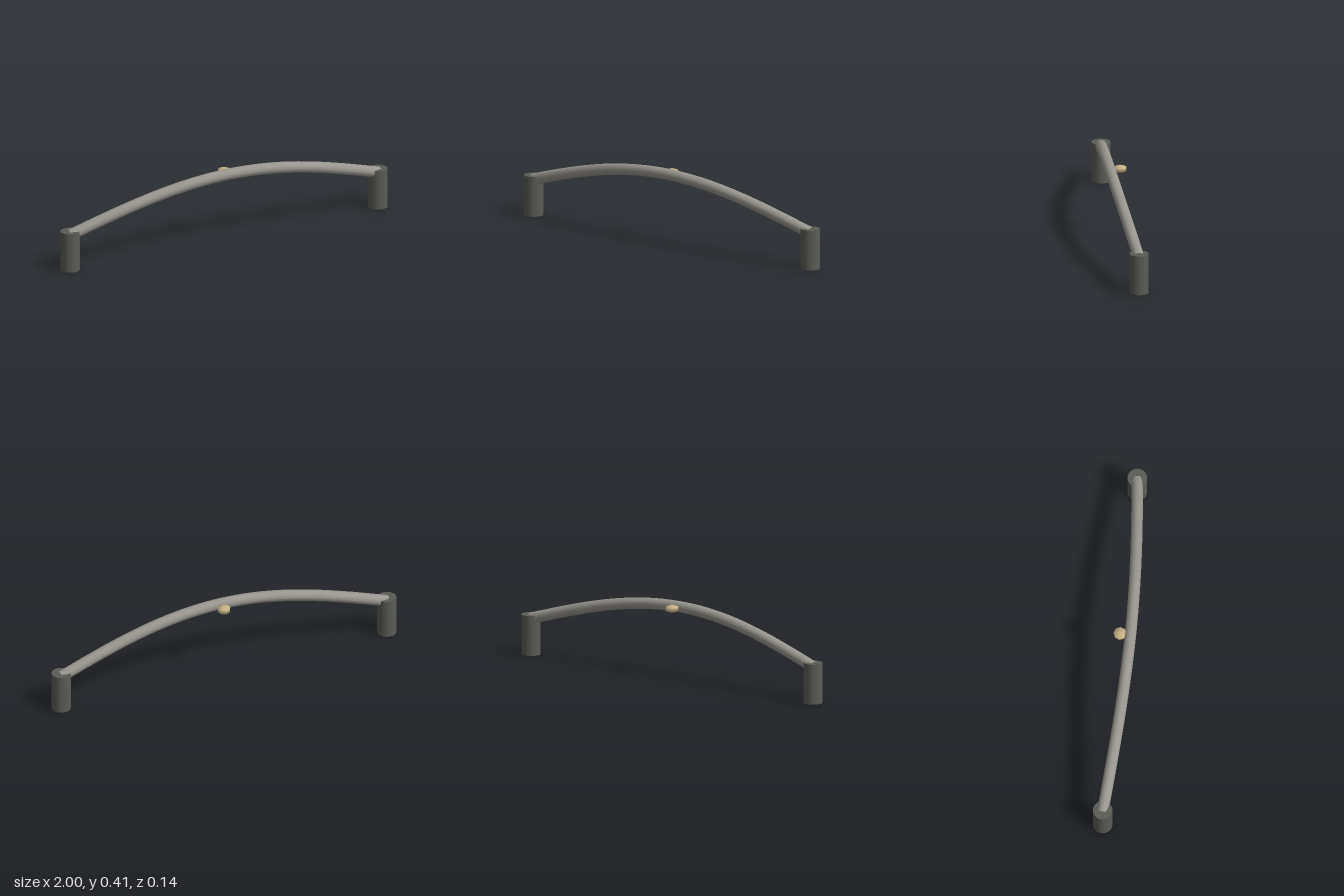
import * as THREE from 'three';

const material = (color) => new THREE.MeshStandardMaterial({ color, side: THREE.DoubleSide });

// Leaning arch running from post to post
class ArchCurve extends THREE.Curve {
  getPoint(t, target = new THREE.Vector3()) {
    const rise = Math.sin(Math.PI * t);
    return target.set((2 * t - 1) * 0.948, 0.195 + 0.187 * rise, -0.018 + 0.056 * rise);
  }
}

export function createModel() {
  const model = new THREE.Group();
  const add = (name, geometry, mat, x = 0, y = 0, z = 0) => {
    const mesh = new THREE.Mesh(geometry, mat);
    mesh.name = name;
    mesh.position.set(x, y, z);
    model.add(mesh);
    return mesh;
  };

  // End posts
  const postMaterial = material(0x5a5c55);
  const postGeometry = new THREE.CylinderGeometry(0.052, 0.052, 0.218, 24);
  for (const [name, side] of [['leftPost', 1], ['rightPost', -1]]) {
    add(name, postGeometry, postMaterial, side * 0.948, 0.109, -0.018);
  }

  // Arched handle bar
  add('archedBar', new THREE.TubeGeometry(new ArchCurve(), 40, 0.031, 12, false), material(0x98968e));

  // Flattened bead behind the crown of the bar
  const bead = add('bead', new THREE.SphereGeometry(0.039, 8, 3), material(0xc8b48a), 0, 0.38, -0.018);
  bead.scale.y = 0.6;

  return model;
}
